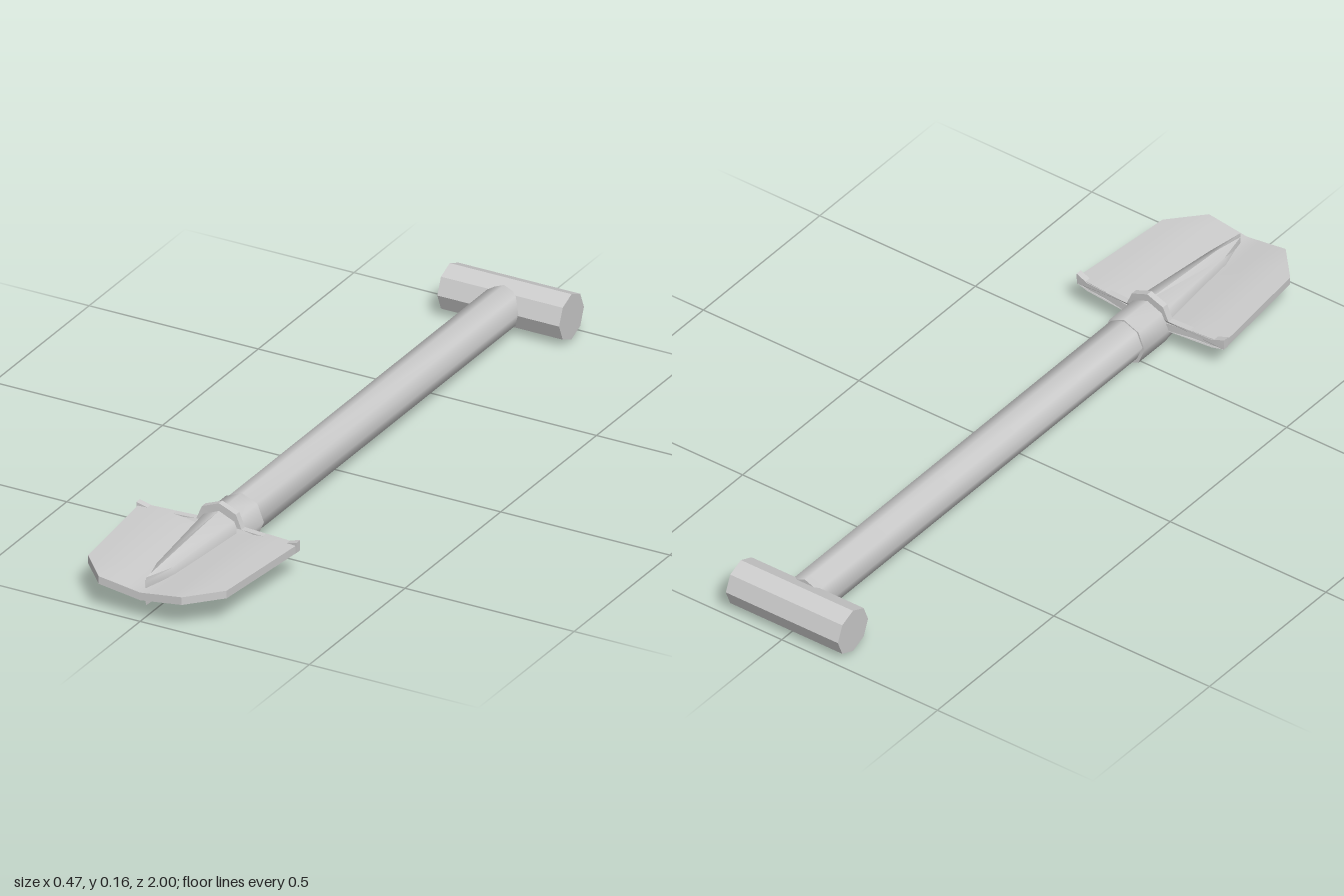
import * as THREE from 'three';
import { toCreasedNormals } from 'three/addons/utils/BufferGeometryUtils.js';

const material = new THREE.MeshStandardMaterial({ color: 0xcccccc });

// Move every vertex of a geometry by a rule
function reshape(geometry, rule) {
  const p = geometry.attributes.position;
  const v = new THREE.Vector3();
  for (let i = 0; i < p.count; i++) {
    rule(v.fromBufferAttribute(p, i));
    p.setXYZ(i, v.x, v.y, v.z);
  }
  return geometry;
}

export function createModel() {
  const group = new THREE.Group();
  const add = (name, geometry, crease) => {
    const mesh = new THREE.Mesh(toCreasedNormals(geometry, crease), material);
    mesh.name = name;
    group.add(mesh);
    return mesh;
  };

  // Octagonal cross grip
  const grip = new THREE.CylinderGeometry(0.065, 0.065, 0.36, 8).rotateZ(Math.PI / 2).rotateX(Math.PI / 2);
  add('grip', grip, 0.3).position.set(0, 0.073, -0.935);

  // Shaft running from the grip into the socket
  const shaft = new THREE.CylinderGeometry(0.059, 0.059, 1.4, 8).rotateX(Math.PI / 2);
  add('shaft', shaft, 0.9).position.set(0, 0.076, -0.2);

  // Socket: straight collar, then a taper to an upright wedge edge
  const rings = [ // z, half width, half height, centre height
    [0.47, 0.066, 0.068, 0.071],
    [0.58, 0.066, 0.069, 0.071],
    [0.87, 0.034, 0.047, 0.074],
    [0.97, 0.001, 0.04, 0.075],
  ];
  const socket = new THREE.CylinderGeometry(1, 1, 3, 8, 3).rotateX(Math.PI / 2);
  reshape(socket, (v) => {
    const [z, rx, ry, cy] = rings[Math.round(v.z + 1.5)];
    v.set(v.x * rx, cy + v.y * ry, z);
  });
  add('socket', socket, 0.9);

  // Dished blade with clipped front corners
  const blade = new THREE.BoxGeometry(2, 0.022, 1, 10, 1, 5);
  reshape(blade, (v) => {
    const u = v.x, a = Math.abs(u), t = v.z + 0.5;
    const back = 0.572 + 0.013 * a * a;
    const front = 1 - 0.09 * Math.max(0, (a - 0.6) / 0.4);
    const rise = 0.017 * Math.min(1, a / 0.6);
    v.set(u * THREE.MathUtils.lerp(0.235, 0.205, t), 0.074 + rise + v.y, THREE.MathUtils.lerp(back, front, t));
  });
  add('blade', blade, 0.6);

  // Raised foot rest along the back edge, arching over the socket
  const half = [[0.05, 0.141], [0.067, 0.102], [0.2, 0.1], [0.237, 0.112], [0.236, 0.082], [0.2, 0.075]];
  const outline = [
    [0, 0.161], ...half, [0, 0.066],
    ...half.map(([x, y]) => [-x, y]).reverse(),
  ].map(([x, y]) => new THREE.Vector2(x, y));
  const lip = new THREE.ExtrudeGeometry(new THREE.Shape(outline), { depth: 0.018, bevelEnabled: false });
  reshape(lip, (v) => { v.z += 0.57 + 0.013 * (v.x / 0.235) ** 2; });
  add('footRest', lip, 0.3);

  return group;
}
